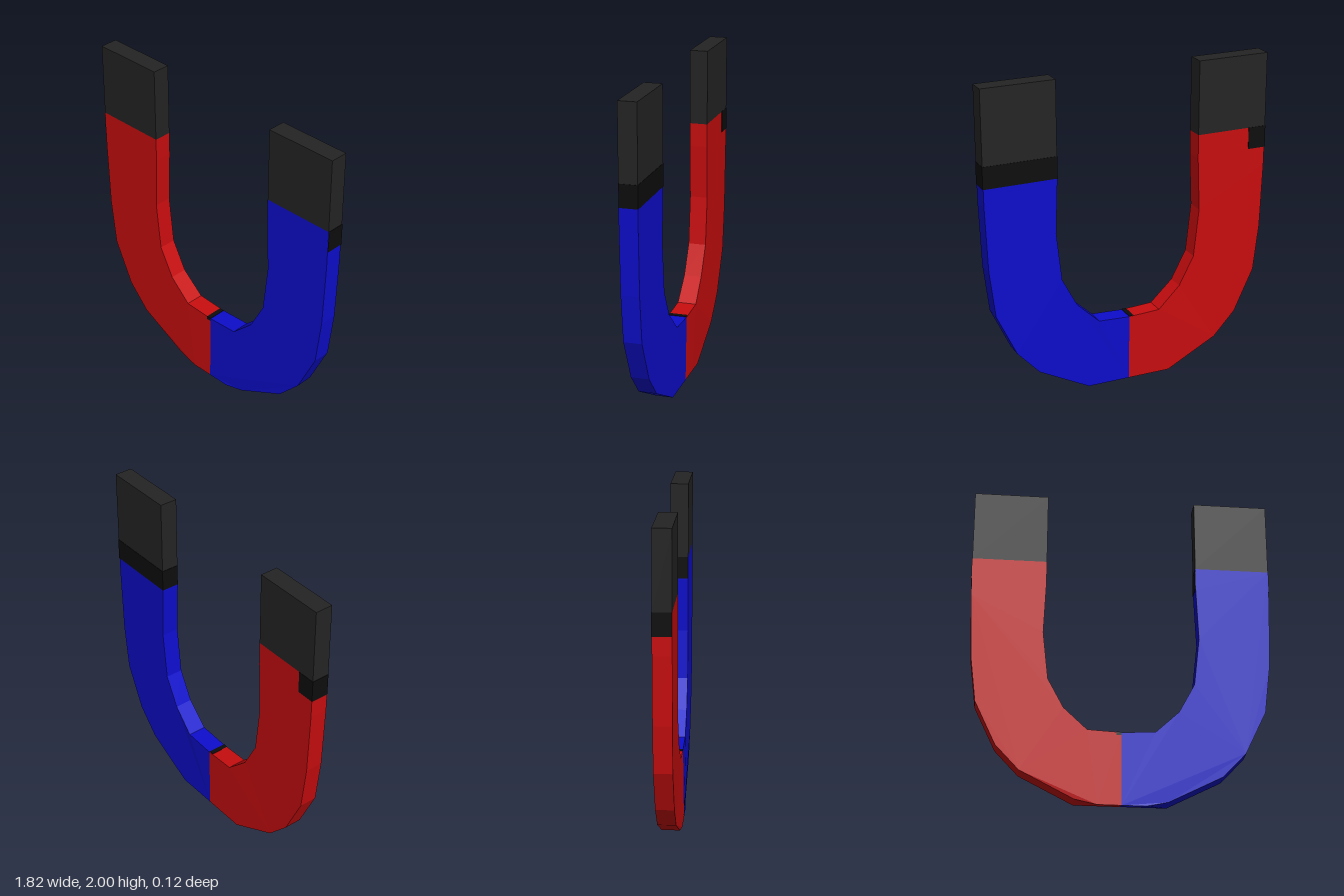
import * as THREE from 'three';

const HALF = 0.055; // half thickness

// Outline of one half of the horseshoe, outer curve up and inner curve back down
const HALF_OUTLINE = [
  [0, 0], [0.14, 0], [0.27, 0.03], [0.59, 0.195], [0.73, 0.345], [0.855, 0.61],
  [0.89, 0.9], [0.905, 1.3], [0.907, 1.545],
  [0.455, 1.545], [0.455, 1.4], [0.468, 1.07], [0.435, 0.77], [0.34, 0.59],
  [0.2, 0.458], [0, 0.448],
];

const material = (color) =>
  new THREE.MeshStandardMaterial({ color, flatShading: true });

function makeHalf(side) {
  const shape = new THREE.Shape(HALF_OUTLINE.map(([x, y]) => new THREE.Vector2(side * x, y)));
  const geometry = new THREE.ExtrudeGeometry(shape, { depth: 2 * HALF, bevelEnabled: false });
  geometry.translate(0, 0, -HALF);
  // Chamfer the bottom towards the back and bulge the middle of the bend slightly
  const p = geometry.attributes.position;
  for (let i = 0; i < p.count; i++) {
    const x = Math.abs(p.getX(i)), y = p.getY(i), z = p.getZ(i);
    if (z < 0) {
      p.setY(i, Math.max(y, 0.03));
      if (y > 0.4 && y < 0.5 && x < 0.3) p.setZ(i, z - 0.006);
    } else if (y < 0.02) {
      p.setZ(i, z + 0.006);
    }
  }
  geometry.computeVertexNormals();
  return geometry;
}

// Box given by its lower and upper corners
function makeBox(min, max) {
  const [w, h, d] = max.map((v, i) => v - min[i]);
  const geometry = new THREE.BoxGeometry(w, h, d);
  return geometry.translate(min[0] + w / 2, min[1] + h / 2, min[2] + d / 2);
}

export function createModel() {
  const group = new THREE.Group();
  const red = material(0xc80d0f);
  const blue = material(0x0d0dcc);
  const dark = material(0x242424);
  const black = material(0x0d0d0d);

  const add = (name, geometry, mat) => {
    const mesh = new THREE.Mesh(geometry, mat);
    mesh.name = name;
    group.add(mesh);
  };

  // Coloured halves of the horseshoe
  add('leftHalf', makeHalf(1), blue);
  add('rightHalf', makeHalf(-1), red);

  // Dark pole tips
  add('leftPole', makeBox([0.455, 1.545, -HALF], [0.907, 2, HALF]), dark);
  add('rightPole', makeBox([-0.907, 1.545, -HALF], [-0.455, 2, HALF]), dark);

  // Black bands below the poles, kept just behind the front face
  const back = -HALF - 0.002, front = HALF - 0.001;
  add('leftBand', makeBox([0.453, 1.41, back], [0.909, 1.545, front]), black);
  add('rightBand', makeBox([-0.909, 1.41, back], [-0.795, 1.545, front]), black);

  // Black mark beside the seam on the inside of the bend
  add('seamMark', makeBox([-0.03, 0.43, back - 0.003], [0, 0.451, front]).translate(0, 0, 0.002), black);

  return group;
}
